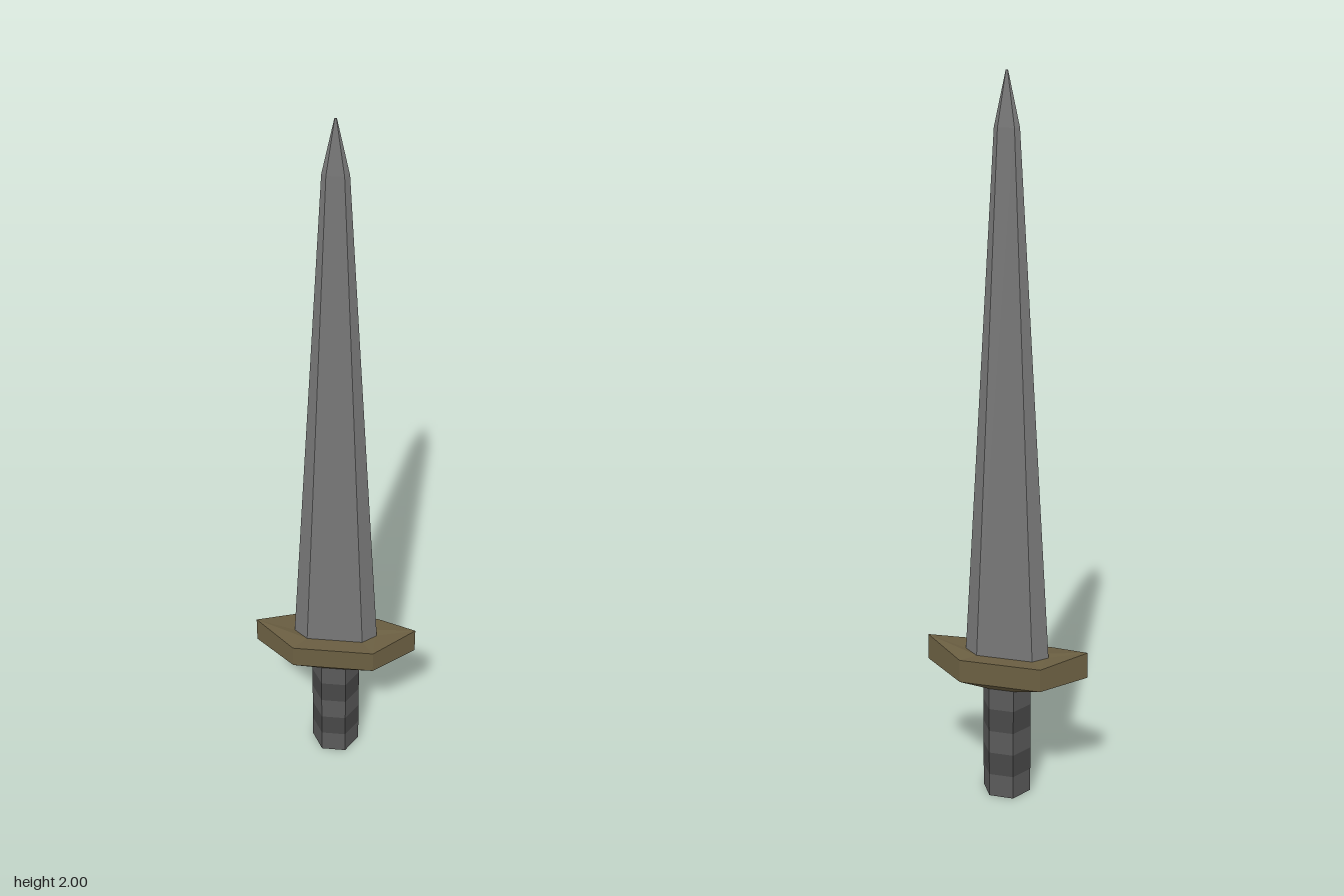
import * as THREE from 'three';

// Six-sided ring: end points at +-x, flat corners at (+-m, +-z), ends may sit at another height
function hexRing(y, x, m, z, endY = y) {
  return [[x, endY, 0], [m, y, -z], [-m, y, -z], [-x, endY, 0], [-m, y, z], [m, y, z]];
}

// Skin a stack of rings from bottom to top and cap both ends
function loft(rings) {
  const pos = [];
  const tri = (a, b, c) => pos.push(...a, ...b, ...c);
  for (let r = 0; r < rings.length - 1; r++) {
    const lo = rings[r], hi = rings[r + 1];
    for (let i = 0; i < 6; i++) {
      const j = (i + 1) % 6;
      tri(lo[i], lo[j], hi[j]);
      tri(lo[i], hi[j], hi[i]);
    }
  }
  const bottom = rings[0], top = rings[rings.length - 1];
  for (let i = 1; i < 5; i++) {
    tri(bottom[0], bottom[i + 1], bottom[i]);
    tri(top[0], top[i], top[i + 1]);
  }
  const geo = new THREE.BufferGeometry();
  geo.setAttribute('position', new THREE.Float32BufferAttribute(pos, 3));
  geo.computeVertexNormals();
  return geo;
}

export function createModel() {
  const model = new THREE.Group();
  model.name = 'sword';
  const add = (name, geometry, color, parent = model) => {
    const mesh = new THREE.Mesh(geometry, new THREE.MeshStandardMaterial({ color, flatShading: true }));
    mesh.name = name;
    parent.add(mesh);
    return mesh;
  };

  // Tapering blade with a flat face, bevelled edges and a short point
  add('blade', loft([
    hexRing(0.41, 0.12, 0.08, 0.028),
    hexRing(1.86, 0.034, 0.022, 0.009),
    hexRing(2, 0.003, 0.002, 0.001),
  ]), 0x777777);

  // Crossguard: upswept pointed ends, underside bevelled down to the grip
  add('crossguard', loft([
    hexRing(0.335, 0.07, 0.036, 0.06),
    hexRing(0.352, 0.23, 0.115, 0.075, 0.375),
    hexRing(0.418, 0.23, 0.115, 0.075, 0.45),
    hexRing(0.416, 0.115, 0.08, 0.028, 0.42),
  ]), 0x6b5f42);

  // Hexagonal grip wrapped in alternating bands
  const grip = new THREE.Group();
  grip.name = 'grip';
  model.add(grip);
  const bands = 5, height = 0.34 / bands;
  for (let i = 0; i < bands; i++) {
    const y = i * height;
    add('gripBand' + (i + 1), loft([
      hexRing(y, 0.069, 0.035, 0.06),
      hexRing(y + height, 0.069, 0.035, 0.06),
    ]), i % 2 ? 0x484848 : 0x5a5a5a, grip);
  }
  return model;
}
